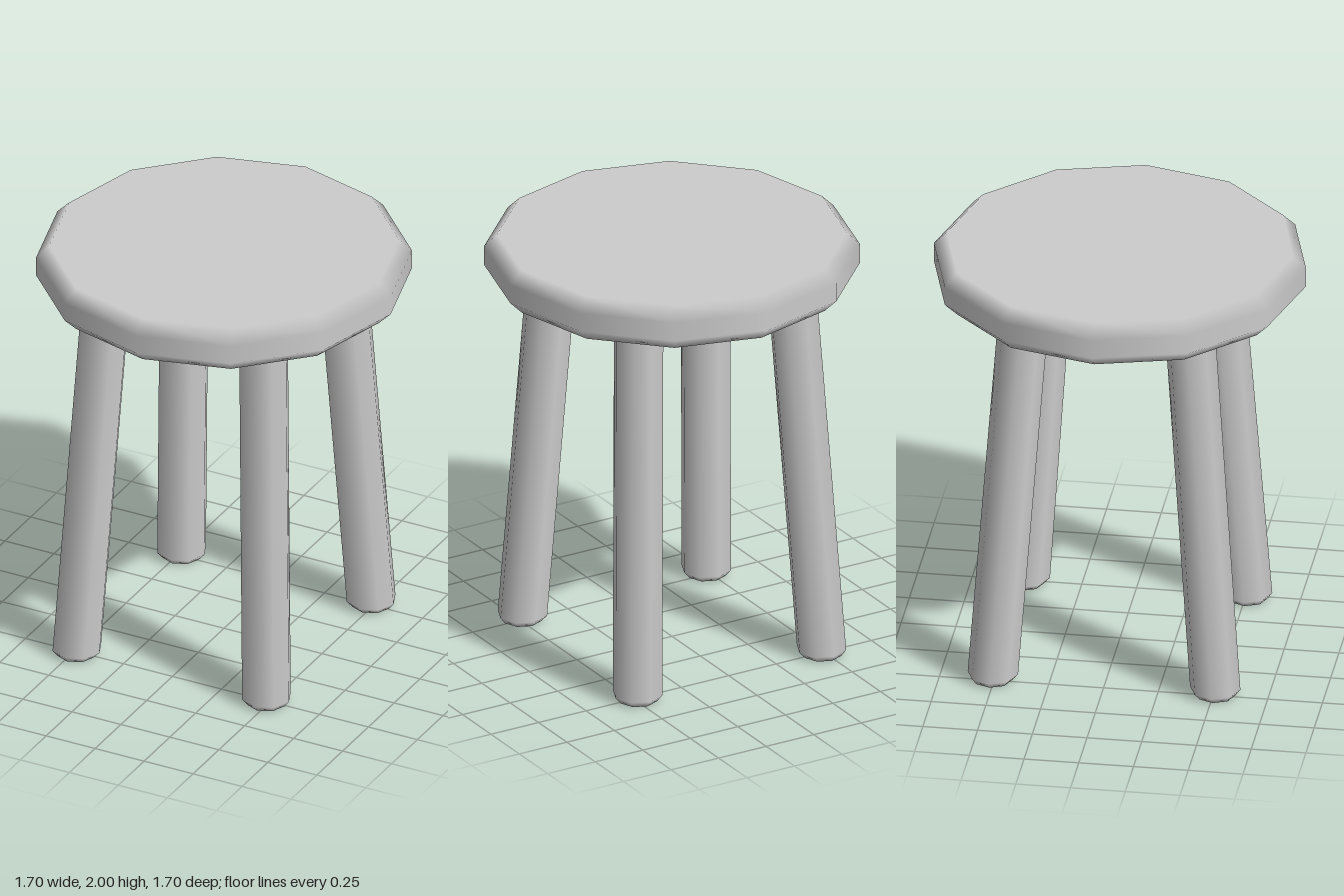
import * as THREE from 'three';

// Bevelled, turned solid: flat ends blend softly into a smooth side.
function turned(profile, sides) {
  const points = profile.map(([r, y]) => new THREE.Vector2(r, y));
  const geometry = new THREE.LatheGeometry(points, sides);
  const { position, normal } = geometry.attributes;
  const low = profile[0][1];
  const high = profile[profile.length - 1][1];
  const n = new THREE.Vector3();
  for (let i = 0; i < position.count; i++) {
    const y = position.getY(i);
    if (Math.abs(y - low) < 1e-4) n.set(0, -1, 0);
    else if (Math.abs(y - high) < 1e-4) n.set(0, 1, 0);
    else n.set(position.getX(i), 0, position.getZ(i)).normalize();
    normal.setXYZ(i, n.x, n.y, n.z);
  }
  return geometry;
}

export function createModel() {
  const stool = new THREE.Group();
  stool.name = 'stool';
  const grey = new THREE.MeshStandardMaterial({ color: 0xcccccc });
  grey.name = 'light grey';

  // Twelve-sided seat with bevelled rims
  const seat = new THREE.Mesh(turned([
    [0, 1.79], [0.79, 1.79], [0.85, 1.85], [0.85, 1.94], [0.79, 2], [0, 2],
  ], 12), grey);
  seat.name = 'seat';
  stool.add(seat);

  // Four splayed legs, sheared so that the feet stay level
  for (const sx of [1, -1]) {
    for (const sz of [1, -1]) {
      const geometry = turned([
        [0, 0], [0.09, 0], [0.115, 0.03], [0.115, 1.8], [0.09, 1.83], [0, 1.83],
      ], 8);
      const position = geometry.attributes.position;
      for (let i = 0; i < position.count; i++) {
        const y = position.getY(i);
        position.setX(i, position.getX(i) + sx * (0.485 - 0.046 * y));
        position.setZ(i, position.getZ(i) + sz * (0.51 - 0.072 * y));
      }
      const leg = new THREE.Mesh(geometry, grey);
      leg.name = (sz > 0 ? 'front' : 'back') + (sx > 0 ? 'Left' : 'Right') + 'Leg';
      stool.add(leg);
    }
  }
  return stool;
}
